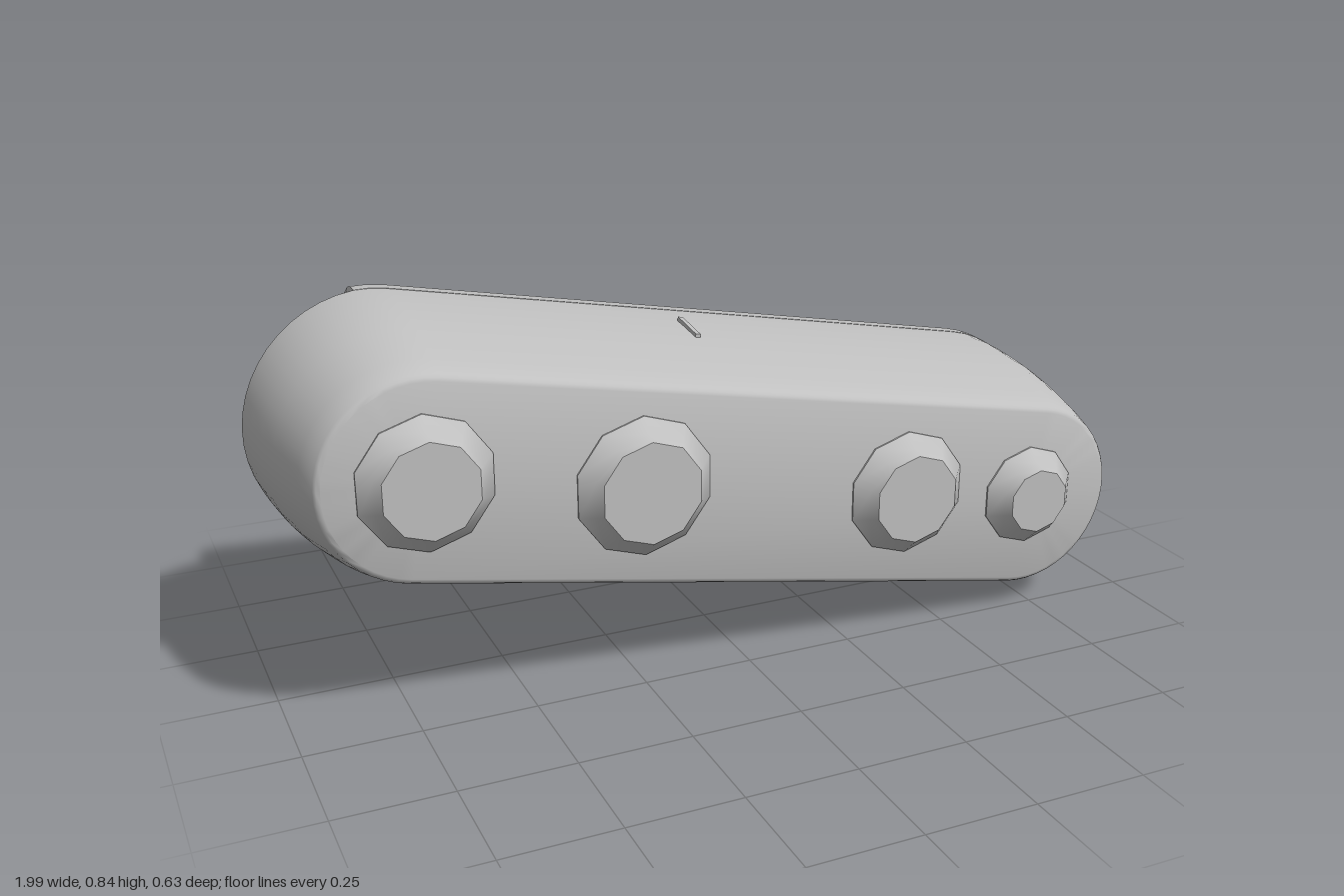
import * as THREE from 'three';
import { toCreasedNormals } from 'three/addons/utils/BufferGeometryUtils.js';

const TILT = -0.187;      // lean of the long axis
const HALF = 0.728;       // half distance between the round ends
const CUT = -0.8;         // wall of the notch at the back
const FLOOR = -0.172;     // notch floor depth at the wall
const CAP = 24;           // segments per round end

// stadium outline, counter-clockwise seen from the front
function stadium(r) {
  const pts = [];
  for (const side of [1, -1]) {
    for (let i = 0; i <= CAP; i++) {
      const a = -Math.PI / 2 + (i / CAP) * Math.PI;
      pts.push([side * (HALF + r * Math.cos(a)), side * r * Math.sin(a)]);
    }
  }
  return pts;
}

// body: stadium rings from front to back, with a corner cut out of the back
function bodyGeometry() {
  const front = [[0, 0.265], [0.205, 0.265], [0.213, 0.262], [0.218, 0.255], [0.234, 0.2], [0.247, 0.14],
    [0.259, 0.08], [0.27, 0.01], [0.277, -0.06], [0.281, -0.12]];
  const back = [[0.283, FLOOR], [0.283, -0.205], [0.275, -0.232], [0.262, -0.255], [0.243, -0.276],
    [0.218, -0.294], [0.185, -0.307], [0.15, -0.313], [0, -0.313]];
  const rings = front.map(([r, z]) => stadium(r).map(([u, v]) => [u, v, z]));
  // rim of the sloping notch floor
  rings.push(stadium(0.282).map(([u, v]) => [u, v, FLOOR + Math.max(0, CUT - u) * 0.14]));
  for (const [r, z] of back) rings.push(stadium(r).map(([u, v]) => [Math.max(u, CUT), v, z]));

  const pos = [];
  const [a, b, c] = [new THREE.Vector3(), new THREE.Vector3(), new THREE.Vector3()];
  const tri = (p, q, s) => {
    a.fromArray(p); b.fromArray(q).sub(a); c.fromArray(s).sub(a);
    if (b.cross(c).length() > 1e-9) pos.push(...p, ...q, ...s);
  };
  for (let i = 0; i < rings.length - 1; i++) {
    const p = rings[i], q = rings[i + 1], n = p.length;
    for (let j = 0; j < n; j++) {
      const k = (j + 1) % n;
      tri(p[j], q[j], p[k]);
      tri(p[k], q[j], q[k]);
    }
  }
  const g = new THREE.BufferGeometry();
  g.setAttribute('position', new THREE.Float32BufferAttribute(pos, 3));
  return toCreasedNormals(g, 0.6);
}

// knob: faceted button with a bevelled rim, facing +z
function knobGeometry(r) {
  const profile = [[r, -0.01], [r, 0.004], [r - 0.03, 0.036], [r - 0.042, 0.05], [0, 0.05]]
    .map(([x, y]) => new THREE.Vector2(x, y));
  const g = new THREE.LatheGeometry(profile, 10).rotateX(Math.PI / 2);
  return toCreasedNormals(g.toNonIndexed(), 0.5);
}

// fin: tiny wedge rising towards the back
function finGeometry() {
  const s = new THREE.Shape([[-0.02, -0.01], [0.085, -0.01], [0.085, 0.012], [-0.02, 0]]
    .map(([x, y]) => new THREE.Vector2(x, y)));
  return new THREE.ExtrudeGeometry(s, { depth: 0.012, bevelEnabled: false })
    .translate(0, 0, -0.006).rotateY(Math.PI / 2);
}

export function createModel() {
  const grey = new THREE.MeshStandardMaterial({ color: 0xc0c0c0 });
  grey.name = 'grey';
  const model = new THREE.Group();
  model.name = 'knobPanel';
  const add = (parent, name, geometry, x, y, z) => {
    const mesh = new THREE.Mesh(geometry, grey);
    mesh.name = name;
    mesh.position.set(x, y, z);
    parent.add(mesh);
    return mesh;
  };

  // tilted housing with its two small fins
  const housing = new THREE.Group();
  housing.name = 'housing';
  housing.position.y = 0.42;
  housing.rotation.z = TILT;
  model.add(housing);
  add(housing, 'body', bodyGeometry(), 0, 0, 0);
  add(housing, 'topFin', finGeometry(), -0.075, 0.276, 0);
  add(housing, 'bottomFin', finGeometry(), 0.02, -0.276, 0).rotation.z = Math.PI;

  // knobs along the front
  [[-0.715, 0.553, 0.145], [-0.255, 0.472, 0.155], [0.38, 0.352, 0.145], [0.71, 0.292, 0.118]]
    .forEach(([x, y, r], i) => add(model, 'knob' + (i + 1), knobGeometry(r), x, y, 0.265));
  return model;
}
